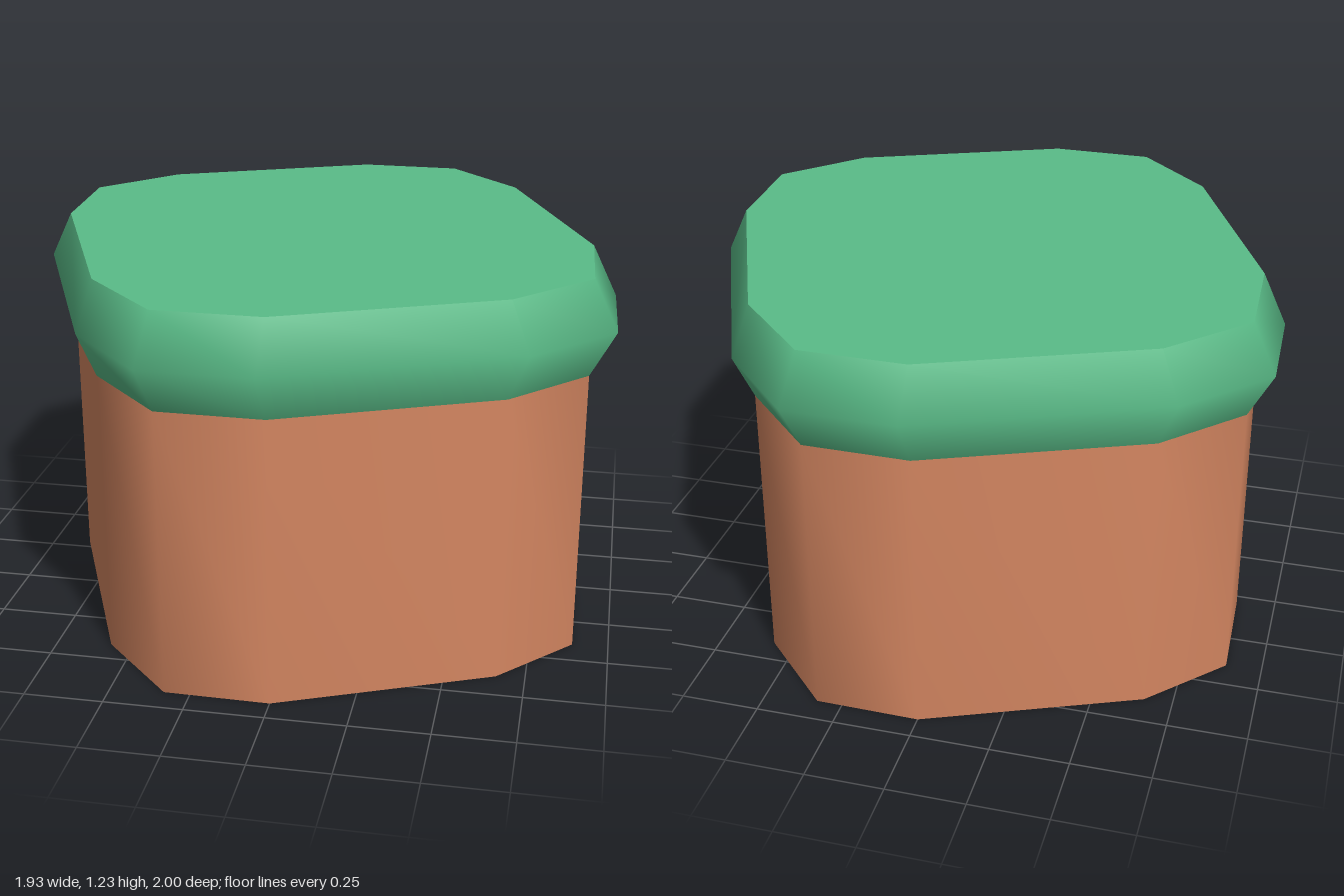
import * as THREE from 'three';

// Half of each twelve-sided outline as [x, z]; the other half is turned by 180 degrees
const turned = (half) => [...half, ...half.map(([x, z]) => [-x, -z])];
const inner = turned([[0.0, -0.92], [0.332, -0.914], [0.576, -0.663], [0.873, 0.04], [0.886, 0.4], [0.66, 0.641]]);
const outer = turned([[0.01, -1.0], [0.36, -0.994], [0.613, -0.728], [0.951, 0.063], [0.963, 0.43], [0.722, 0.686]]);

// Smooth wall through a stack of outlines, listed from bottom to top
function wall(rings) {
  const n = rings[0].outline.length;
  const positions = [], index = [];
  for (const { outline, y } of rings) for (const [x, z] of outline) positions.push(x, y, z);
  for (let r = 0; r < rings.length - 1; r++) {
    for (let i = 0; i < n; i++) {
      const j = (i + 1) % n;
      const a = r * n + i, b = r * n + j;
      index.push(a, a + n, b + n, a, b + n, b);
    }
  }
  return finish(positions, index);
}

// Flat face closing an outline, looking up or down
function cap(outline, y, up) {
  const index = [];
  for (let i = 1; i < outline.length - 1; i++) index.push(0, ...(up ? [i + 1, i] : [i, i + 1]));
  return finish(outline.flatMap(([x, z]) => [x, y, z]), index);
}

function finish(positions, index) {
  const geometry = new THREE.BufferGeometry();
  geometry.setAttribute('position', new THREE.Float32BufferAttribute(positions, 3));
  geometry.setIndex(index);
  geometry.computeVertexNormals();
  return geometry;
}

export function createModel() {
  const grass = new THREE.MeshStandardMaterial({ color: 0x5abc88 });
  grass.name = 'grass green';
  const earth = new THREE.MeshStandardMaterial({ color: 0xd48661 });
  earth.name = 'earth brown';

  const model = new THREE.Group();
  model.name = 'groundBlock';
  const add = (name, geometry, material) => {
    const mesh = new THREE.Mesh(geometry, material);
    mesh.name = name;
    model.add(mesh);
  };

  // Earth body
  add('earthWall', wall([{ outline: inner, y: 0 }, { outline: inner, y: 0.925 }]), earth);
  add('earthBottom', cap(inner, 0, false), earth);

  // Overhanging grass layer with a soft ridge
  add('grassRim', wall([
    { outline: inner, y: 0.925 },
    { outline: outer, y: 1.077 },
    { outline: inner, y: 1.23 },
  ]), grass);
  add('grassTop', cap(inner, 1.23, true), grass);

  return model;
}
